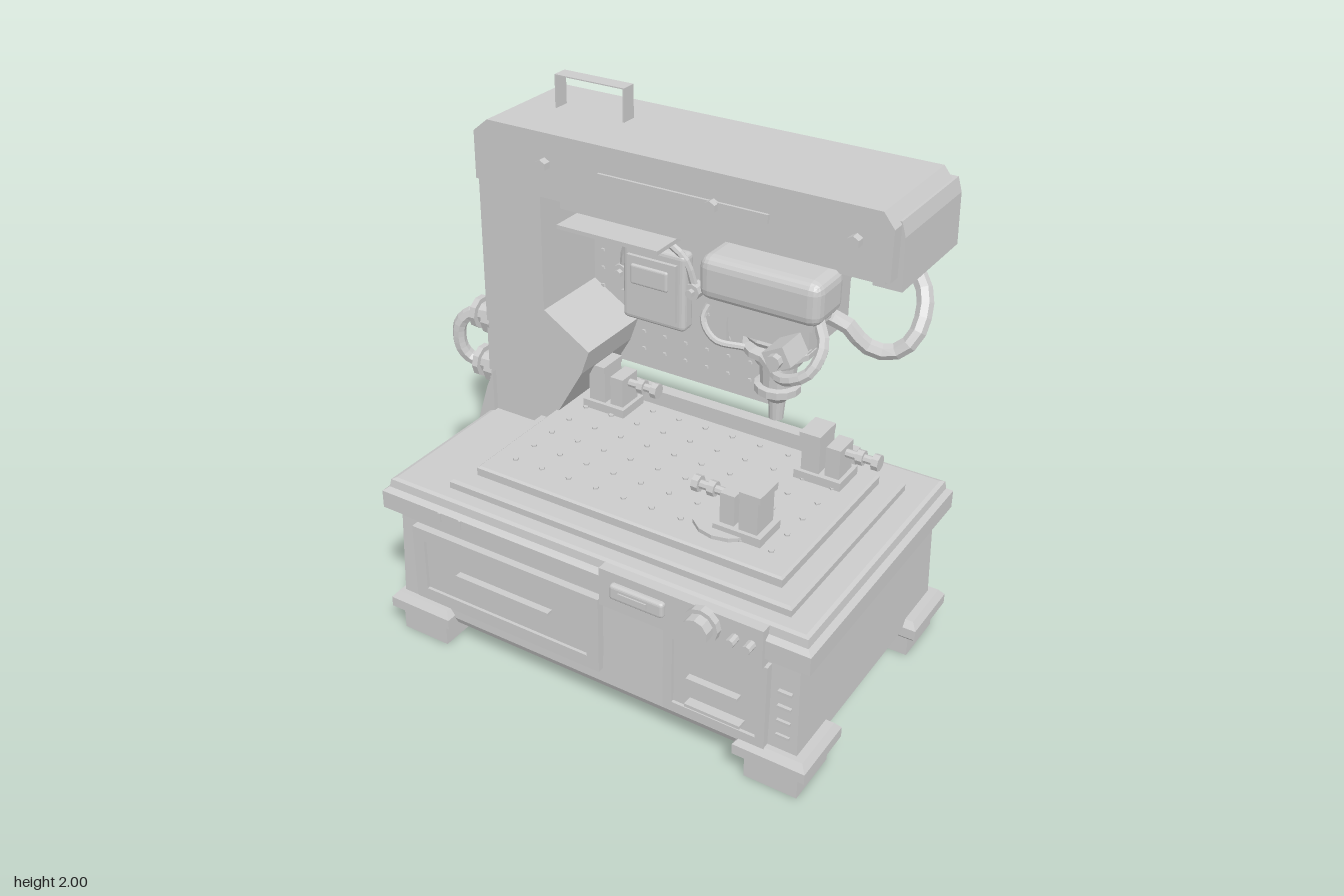
import * as THREE from 'three';
import { RoundedBoxGeometry } from 'three/addons/geometries/RoundedBoxGeometry.js';

const grey = new THREE.MeshStandardMaterial({ color: 0xcccccc, flatShading: true, side: THREE.DoubleSide });

function add(parent, name, geometry, x = 0, y = 0, z = 0) {
  const mesh = new THREE.Mesh(geometry, grey);
  mesh.name = name;
  mesh.position.set(x, y, z);
  parent.add(mesh);
  return mesh;
}

// Box given by its limits on each axis
function box(parent, name, x0, x1, y0, y1, z0, z1) {
  return add(parent, name, new THREE.BoxGeometry(x1 - x0, y1 - y0, z1 - z0), (x0 + x1) / 2, (y0 + y1) / 2, (z0 + z1) / 2);
}

function softBox(parent, name, x0, x1, y0, y1, z0, z1, r) {
  return add(parent, name, new RoundedBoxGeometry(x1 - x0, y1 - y0, z1 - z0, 2, r), (x0 + x1) / 2, (y0 + y1) / 2, (z0 + z1) / 2);
}

// Stack of rectangles: each level is [y, inset] from the outer limits
function slab(parent, name, x0, x1, z0, z1, levels) {
  const pos = [], index = [];
  for (const [y, i] of levels) {
    pos.push(x0 + i, y, z1 - i, x1 - i, y, z1 - i, x1 - i, y, z0 + i, x0 + i, y, z0 + i);
  }
  for (let l = 0; l < levels.length - 1; l++) {
    for (let k = 0; k < 4; k++) {
      const a = l * 4 + k, b = l * 4 + (k + 1) % 4;
      index.push(a, b, b + 4, a, b + 4, a + 4);
    }
  }
  const t = levels.length * 4 - 4;
  index.push(0, 2, 1, 0, 3, 2, t, t + 1, t + 2, t, t + 2, t + 3);
  const g = new THREE.BufferGeometry();
  g.setAttribute('position', new THREE.Float32BufferAttribute(pos, 3));
  g.setIndex(index);
  const flat = g.toNonIndexed();
  flat.computeVertexNormals();
  return add(parent, name, flat);
}

// Outline in the front plane, extruded from z0 to z1
function plate(parent, name, points, z0, z1) {
  const shape = new THREE.Shape(points.map(p => new THREE.Vector2(...p)));
  return add(parent, name, new THREE.ExtrudeGeometry(shape, { depth: z1 - z0, bevelEnabled: false }), 0, 0, z0);
}

// Cylinder along the chosen axis
function rod(parent, name, r, length, axis, x, y, z, sides = 10, r2 = r) {
  const mesh = add(parent, name, new THREE.CylinderGeometry(r2, r, length, sides), x, y, z);
  if (axis === 'x') mesh.rotation.z = -Math.PI / 2;
  if (axis === 'z') mesh.rotation.x = Math.PI / 2;
  return mesh;
}

function hose(parent, name, points, r) {
  const curve = new THREE.CatmullRomCurve3(points.map(p => new THREE.Vector3(...p)));
  return add(parent, name, new THREE.TubeGeometry(curve, 14, r, 7));
}

function addBase(g) {
  slab(g, 'cabinet', -0.75, 0.915, -0.56, 0.505, [[0.1, 0.02], [0.13, 0.005], [0.5, 0.015], [0.54, 0.015]]);
  slab(g, 'cabinetTop', -0.785, 0.95, -0.585, 0.53, [[0.51, 0.035], [0.54, 0], [0.61, 0], [0.625, 0.02], [0.655, 0.025], [0.66, 0.04]]);
  slab(g, 'bed', -0.54, 0.83, -0.42, 0.44, [[0.65, 0], [0.685, 0], [0.695, 0.01]]);
  slab(g, 'bedStep', -0.42, 0.7, -0.34, 0.33, [[0.69, 0], [0.715, 0]]);
  slab(g, 'workTable', -0.465, 0.76, -0.345, 0.375, [[0.705, 0], [0.735, 0], [0.742, 0.008]]);
  box(g, 'tableRail', -0.38, 0.66, 0.74, 0.8, -0.39, -0.34);
  // Feet
  for (const x of [-0.645, 0.825]) for (const z of [0.405, -0.465]) {
    box(g, 'footPad', x - 0.1, x + 0.1, 0, 0.09, z - 0.11, z + 0.11);
    slab(g, 'footCap', x - 0.135, x + 0.135, z - 0.135, z + 0.135, [[0.08, 0.02], [0.1, 0], [0.14, 0], [0.165, 0.02]]);
  }
  // Table holes
  for (let i = 0; i < 10; i++) for (let j = 0; j < 6; j++) {
    rod(g, 'tableStud', 0.011, 0.008, 'y', -0.375 + i * 0.115, 0.744, 0.265 - j * 0.11, 5);
  }
}

function addFront(g) {
  // Raised frame around a recessed face
  const framed = (name, x0, x1, y0, y1, m) => {
    const r = (a, b, c, d) => [[a, c], [b, c], [b, d], [a, d]].map(p => new THREE.Vector2(...p));
    const shape = new THREE.Shape(r(x0, x1, y0, y1));
    shape.holes.push(new THREE.Path(r(x0 + m, x1 - m, y0 + m, y1 - m)));
    add(g, name + 'Frame', new THREE.ExtrudeGeometry(shape, { depth: 0.03, bevelEnabled: false }), 0, 0, 0.495);
    box(g, name, x0 + m, x1 - m, y0 + m, y1 - m, 0.49, 0.513);
    const c = (x0 + x1) / 2, w = (x1 - x0) * 0.25;
    box(g, name + 'Handle', c - w, c + w, y0 + 0.165, y0 + 0.177, 0.51, 0.54);
  };
  framed('door', -0.66, 0.15, 0.19, 0.5, 0.05);
  framed('drawer', 0.41, 0.8, 0.16, 0.5, 0.035);
  box(g, 'drawerLip', 0.51, 0.72, 0.225, 0.237, 0.51, 0.55);
  for (let i = 0; i < 4; i++) box(g, 'vent', 0.83, 0.88, 0.22 + i * 0.06, 0.23 + i * 0.06, 0.49, 0.507);
  // Control panel
  box(g, 'controlPanel', 0.17, 0.79, 0.505, 0.655, 0.5, 0.545);
  softBox(g, 'display', 0.22, 0.43, 0.56, 0.62, 0.53, 0.565, 0.012);
  box(g, 'displayBar', 0.26, 0.37, 0.58, 0.6, 0.56, 0.57);
  rod(g, 'dialSkirt', 0.065, 0.03, 'z', 0.575, 0.6, 0.555, 12);
  rod(g, 'dial', 0.05, 0.06, 'z', 0.575, 0.6, 0.58, 10);
  for (const x of [0.69, 0.75]) rod(g, 'button', 0.016, 0.05, 'z', x, 0.59, 0.56, 8);
  for (const x of [-0.52, -0.43]) box(g, 'slot', x - 0.006, x + 0.006, 0.575, 0.61, 0.52, 0.535);
}

function addColumnAndBeam(g) {
  plate(g, 'column', [[-0.77, 0.64], [-0.5, 0.64], [-0.5, 1.68], [-0.73, 1.68], [-0.77, 1.64]], -0.495, -0.1);
  plate(g, 'columnFlare', [[-0.82, 0.6], [-0.74, 0.6], [-0.74, 0.83], [-0.77, 0.76]], -0.45, -0.08);
  plate(g, 'gusset', [[-0.56, 0.66], [-0.46, 0.66], [-0.46, 0.72], [-0.34, 0.93], [-0.305, 1.03], [-0.5, 1.15], [-0.56, 1.15]], -0.46, -0.1);
  plate(g, 'beam', [[-0.7, 1.655], [0.88, 1.655], [0.88, 1.83], [0.84, 1.88], [-0.64, 1.88], [-0.7, 1.83]], -0.45, 0);
  plate(g, 'beamEndCap', [[0.8, 1.61], [0.9, 1.61], [0.895, 1.79], [0.88, 1.84], [0.8, 1.84]], -0.48, -0.05);
  box(g, 'beamUnderside', -0.68, 0.85, 1.63, 1.66, -0.44, -0.03);
  box(g, 'beamBackRib', -0.66, 0.86, 1.68, 1.83, -0.475, -0.44);
  box(g, 'beamSlot', -0.18, 0.46, 1.755, 1.785, -0.01, 0.01);
  for (const x of [-0.4, 0.26, 0.76]) rod(g, 'beamBolt', 0.023, 0.04, 'z', x, 1.77, 0.01, 6);
  box(g, 'lightBracket', -0.37, 0.33, 1.6, 1.635, -0.2, -0.04);
  box(g, 'lightTray', -0.3, 0.1, 1.585, 1.6, -0.08, 0.08);
  // Carry handle
  box(g, 'handleTop', -0.51, -0.23, 1.996, 2, -0.285, -0.225);
  for (const x of [-0.51, -0.23]) box(g, 'handlePost', x - 0.003, x + 0.003, 1.87, 2, -0.285, -0.225);
  // Side hose with its two couplings
  for (const y of [1.02, 0.81]) {
    rod(g, 'couplingPlate', 0.075, 0.04, 'x', -0.78, y, -0.17);
    rod(g, 'coupling', 0.045, 0.06, 'x', -0.82, y, -0.17);
    rod(g, 'couplingCollar', 0.065, 0.025, 'x', -0.85, y, -0.17);
  }
  hose(g, 'sideHose', [[-0.84, 1.02, -0.17], [-0.89, 1.01, -0.16], [-0.935, 0.96, -0.14], [-0.935, 0.86, -0.14], [-0.9, 0.81, -0.16], [-0.84, 0.81, -0.17]], 0.027);
}

function addPegboard(g) {
  box(g, 'backPanel', -0.52, 0.26, 0.82, 1.5, -0.485, -0.45);
  box(g, 'pegboard', -0.5, 0.23, 0.85, 1.47, -0.46, -0.43);
  for (let i = 0; i < 8; i++) for (let j = 0; j < 8; j++) {
    rod(g, 'peg', 0.009, 0.01, 'z', -0.46 + i * 0.092, 0.91 + j * 0.073, -0.427, 5);
  }
  // Control box with side knobs and a curved grip
  softBox(g, 'controlBox', -0.33, -0.06, 1.06, 1.37, -0.43, -0.36, 0.02);
  box(g, 'controlBoxCover', -0.3, -0.09, 1.1, 1.33, -0.37, -0.345);
  softBox(g, 'controlBoxWindow', -0.28, -0.12, 1.22, 1.3, -0.355, -0.335, 0.009);
  for (const x of [-0.35, -0.04]) {
    rod(g, 'controlBoxKnob', 0.032, 0.05, 'z', x, 1.23, -0.4, 8);
    rod(g, 'knobPin', 0.016, 0.03, 'z', x, 1.23, -0.37, 6);
  }
  hose(g, 'controlBoxGrip', [[-0.35, 1.24, -0.4], [-0.32, 1.35, -0.38], [-0.25, 1.405, -0.37], [-0.14, 1.405, -0.37], [-0.07, 1.35, -0.38], [-0.04, 1.24, -0.4]], 0.015);
  // Hanging tools
  for (const x of [0.09, 0.2]) {
    box(g, 'toolBlade', x - 0.012, x + 0.012, 1.03, 1.2, -0.41, -0.39);
    box(g, 'toolGrip', x - 0.015, x + 0.015, 1.2, 1.37, -0.415, -0.385);
    box(g, 'toolClip', x - 0.03, x + 0.03, 1.2, 1.28, -0.43, -0.375);
  }
  const arm = box(g, 'swingArm', 0.305, 0.335, 1.06, 1.3, -0.405, -0.385);
  arm.rotation.z = -0.25;
  hose(g, 'armWire', [[0.22, 1.31, -0.42], [0.28, 1.31, -0.41], [0.35, 1.28, -0.395]], 0.005);
}

function addHead(g) {
  const x = 0.485, z = -0.065;
  box(g, 'carriage', 0.3, 0.68, 1.56, 1.64, -0.32, -0.02);
  box(g, 'headBack', 0.25, 0.6, 1.4, 1.54, -0.26, 0.02);
  box(g, 'headBody', 0.37, 0.66, 1.385, 1.56, -0.2, 0.08);
  softBox(g, 'headCover', 0.27, 0.705, 1.49, 1.645, -0.07, 0.12, 0.04);
  box(g, 'headCoverRim', 0.3, 0.68, 1.475, 1.5, -0.05, 0.1);
  // Spindle
  const profile = [[0, 1.4], [0.1, 1.4], [0.08, 1.33], [0.125, 1.315], [0.125, 1.295], [0.09, 1.28], [0.08, 1.25], [0.066, 1.25],
    [0.06, 1.17], [0.08, 1.165], [0.08, 1.14], [0.05, 1.12], [0.03, 1.1], [0.025, 1.03], [0, 1.03]];
  add(g, 'spindle', new THREE.LatheGeometry(profile.map(p => new THREE.Vector2(...p)).reverse(), 14), x, 0, z);
  const ring = add(g, 'spindleRing', new THREE.TorusGeometry(0.1, 0.018, 6, 14), x, 1.355, z);
  ring.rotation.x = Math.PI / 2;
  // Hoses
  hose(g, 'outerHose', [[0.79, 1.59, -0.29], [0.87, 1.58, -0.25], [0.92, 1.52, -0.2], [0.92, 1.42, -0.13], [0.86, 1.37, -0.1], [0.78, 1.39, -0.07], [0.73, 1.45, -0.05], [0.64, 1.47, -0.05]], 0.028);
  rod(g, 'hoseSocket', 0.045, 0.08, 'y', 0.79, 1.59, -0.29, 8);
  hose(g, 'frontHose', [[0.68, 1.5, 0.06], [0.72, 1.44, 0.1], [0.7, 1.36, 0.15], [0.62, 1.32, 0.16], [0.5, 1.32, 0.07]], 0.02);
  hose(g, 'rearHose', [[0.28, 1.46, 0.02], [0.26, 1.39, 0.05], [0.31, 1.33, 0.06], [0.4, 1.31, 0.02]], 0.012);
  const sensor = box(g, 'sensor', 0.57, 0.65, 1.37, 1.44, 0.06, 0.2);
  sensor.rotation.z = 0.5;
  rod(g, 'sensorLens', 0.025, 0.03, 'z', 0.61, 1.405, 0.21, 8);
}

// Small vise: two jaws on a foot with a screw along x
function addVise(g, name, x, z, dir) {
  const vise = new THREE.Group();
  vise.name = name;
  vise.position.set(x, 0.74, z);
  vise.scale.x = dir;
  g.add(vise);
  box(vise, 'viseFoot', -0.09, 0.09, 0, 0.035, -0.07, 0.07);
  box(vise, 'fixedJaw', -0.07, 0.0, 0.03, 0.165, -0.055, 0.055);
  box(vise, 'jawCap', -0.08, 0.0, 0.16, 0.185, -0.06, 0.06);
  box(vise, 'movingJaw', 0.02, 0.075, 0.03, 0.15, -0.05, 0.05);
  rod(vise, 'screw', 0.016, 0.16, 'x', 0.12, 0.12, 0, 8);
  rod(vise, 'screwCollar', 0.028, 0.025, 'x', 0.13, 0.12, 0, 8);
  rod(vise, 'screwHead', 0.03, 0.025, 'x', 0.19, 0.12, 0, 8);
}

export function createModel() {
  const g = new THREE.Group();
  g.name = 'millingMachine';
  addBase(g);
  addFront(g);
  addColumnAndBeam(g);
  addPegboard(g);
  addHead(g);
  addVise(g, 'leftVise', -0.3, -0.25, 1);
  addVise(g, 'rightVise', 0.6, -0.24, 1);
  addVise(g, 'frontVise', 0.53, 0.2, -1);
  rod(g, 'turntable', 0.13, 0.015, 'y', 0.46, 0.749, 0.18, 14);
  return g;
}
